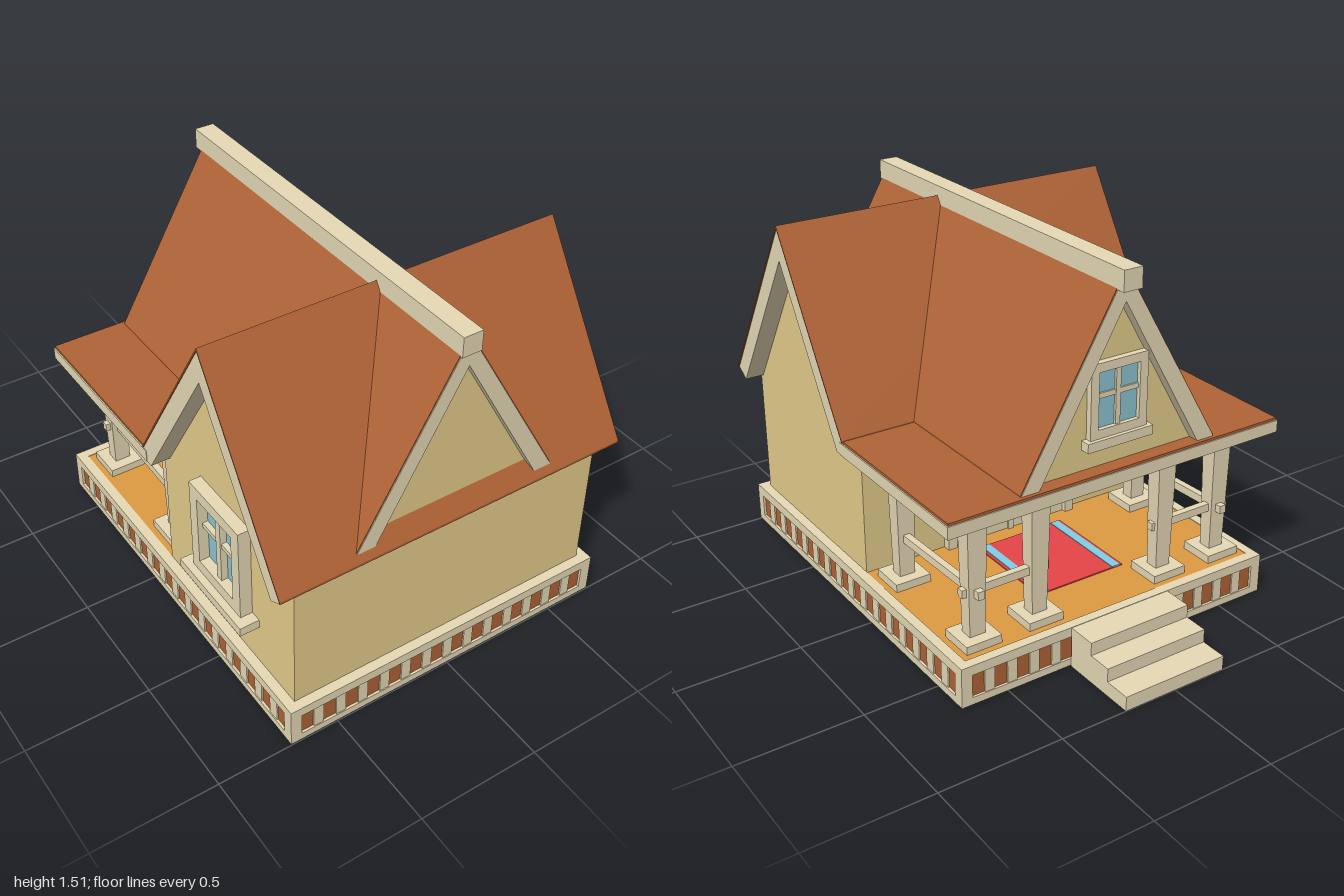
import * as THREE from 'three';

const mat = (name, color) => {
  const m = new THREE.MeshStandardMaterial({ color });
  m.name = name;
  return m;
};

export function createModel() {
  const trim = mat('cream trim', 0xe6d9b6);
  const wall = mat('sand wall', 0xe5cd8b);
  const tile = mat('terracotta', 0xb06336);
  const wood = mat('honey wood', 0xdf9b43);
  const red = mat('rug red', 0xe64547);
  const blue = mat('rug blue', 0x82d4ec);
  const glass = mat('window glass', 0x8cc4d2);

  const model = new THREE.Group();
  model.name = 'cottage';

  const add = (name, geo, material, parent = model) => {
    const mesh = new THREE.Mesh(geo, material);
    mesh.name = name;
    parent.add(mesh);
    return mesh;
  };
  // Box given by its lower and upper limits on each axis
  const box = (name, m, x0, x1, y0, y1, z0, z1, parent = model) => {
    const mesh = add(name, new THREE.BoxGeometry(x1 - x0, y1 - y0, z1 - z0), m, parent);
    mesh.position.set((x0 + x1) / 2, (y0 + y1) / 2, (z0 + z1) / 2);
    return mesh;
  };
  const extrude = (pts, depth) => new THREE.ExtrudeGeometry(
    new THREE.Shape(pts.map(p => new THREE.Vector2(...p))), { depth, bevelEnabled: false });
  // (x, y) profile swept along z
  const alongZ = (name, m, pts, z0, z1) =>
    add(name, extrude(pts, z1 - z0).translate(0, 0, z0), m);
  // (z, y) profile swept along x, centred
  const alongX = (name, m, pts, half) =>
    add(name, extrude(pts.map(([z, y]) => [-z, y]), half * 2).translate(0, 0, -half).rotateY(Math.PI / 2), m);
  // Thin tile skin over a roof line
  const skin = line => [...line, ...line.map(([a, y]) => [a, y + 0.01]).reverse()];

  // Floor and striped skirt
  box('floor', wood, -0.67, 0.67, 0.138, 0.167, -0.64, 0.97);
  const skirt = (name, len, count, place) => {
    const g = new THREE.Group();
    g.name = name;
    const h = len / 2;
    box('topRail', trim, -h, h, 0.13, 0.17, -0.04, 0, g);
    box('bottomRail', trim, -h, h, 0.005, 0.035, -0.012, 0, g);
    box('panel', tile, -h + 0.012, h - 0.012, 0.008, 0.14, -0.03, -0.01, g);
    for (const s of [-1, 1]) box('endPost', trim, s * (h - 0.0225) - 0.0225, s * (h - 0.0225) + 0.0225, 0.005, 0.17, -0.012, 0, g);
    const bar = 0.055, inner = len - 0.09, pitch = (inner - bar) / (count - 1);
    for (let i = 0; i < count - 1; i++) {
      const x = -inner / 2 + i * pitch + bar;
      box('slat', trim, x, x + pitch - bar, 0.03, 0.135, -0.036, -0.004, g);
    }
    place(g);
    model.add(g);
  };
  skirt('frontSkirt', 1.4, 14, g => g.position.set(0, 0, 1));
  skirt('backSkirt', 1.4, 14, g => { g.position.set(0, 0, -0.67); g.rotation.y = Math.PI; });
  for (const s of [-1, 1]) {
    skirt('sideSkirt', 1.67, 16, g => { g.position.set(s * 0.7, 0, 0.165); g.rotation.y = s * Math.PI / 2; });
  }

  // Hollow steps up to the porch: tread, riser and two cheeks each
  let stepBack = -0.67;
  for (const [y, z] of [[0.168, -0.79], [0.115, -0.89], [0.06, -1]]) {
    box('stepTread', trim, -0.225, 0.225, y - 0.02, y, z, stepBack);
    box('stepRiser', trim, -0.225, 0.225, y - 0.06, y, z, z + 0.02);
    for (const s of [-1, 1]) box('stepCheek', trim, s * 0.215 - 0.01, s * 0.215 + 0.01, 0, y, z, stepBack);
    stepBack = z;
  }

  // House body with side gables
  alongX('houseWalls', wall, [[0.96, 0.165], [0.96, 0.7], [0.525, 1.38], [0.09, 0.7], [0.09, 0.165]], 0.66);
  // Upper room with front and back gables
  alongZ('upperWalls', wall, [[-0.37, 0.755], [0.37, 0.755], [0, 1.41]], -0.6, 0.952);

  // Cross roof, ridge along x
  alongX('crossRoof', trim, [[1, 0.735], [0.525, 1.465], [0.08, 0.755], [0.08, 0.7], [0.13, 0.7],
    [0.525, 1.335], [0.94, 0.7]], 0.738);
  alongX('crossRoofTiles', tile, skin([[1, 0.735], [0.525, 1.465], [0.08, 0.755]]), 0.742);

  // Main roof, ridge along z
  alongZ('mainRoof', trim, [[-0.432, 0.758], [0, 1.5], [0.432, 0.758], [0.356, 0.758],
    [0, 1.385], [-0.356, 0.758]], -0.645, 0.982);
  alongZ('mainRoofTiles', tile, skin([[-0.432, 0.756], [0, 1.498], [0.432, 0.756]]), -0.642, 0.979);
  box('ridgeBeam', trim, -0.04, 0.04, 1.435, 1.515, -0.68, 0.99);

  // Flat porch roof with trim rim
  box('porchRoof', tile, -0.735, 0.735, 0.735, 0.76, -0.66, 0.12);
  box('porchRimBack', trim, -0.74, 0.74, 0.7, 0.75, -0.665, -0.625);
  for (const s of [-1, 1]) box('porchRimSide', trim, s * 0.72 - 0.02, s * 0.72 + 0.02, 0.7, 0.75, -0.64, 0.1);

  // Tapered porch posts on plinths
  const postGeo = new THREE.CylinderGeometry(0.035 * Math.SQRT2, 0.027 * Math.SQRT2, 0.54, 4)
    .rotateY(Math.PI / 4).scale(1.2, 1, 1).toNonIndexed();
  postGeo.computeVertexNormals();
  const rail = (name, a, b) => {
    const from = new THREE.Vector3(...a), to = new THREE.Vector3(...b);
    const mesh = add(name, new THREE.BoxGeometry(0.028, 0.033, from.distanceTo(to)), trim);
    mesh.position.copy(from).add(to).multiplyScalar(0.5);
    mesh.lookAt(to);
  };
  for (const s of [-1, 1]) {
    for (const [x, z] of [[0.56, -0.03], [0.56, -0.53], [0.29, -0.53]]) {
      add('porchPost', postGeo, trim).position.set(s * x, 0.465, z);
      box('postPlinth', trim, s * x - 0.075, s * x + 0.075, 0.165, 0.2, z - 0.073, z + 0.073);
    }
    rail('sideRail', [s * 0.56, 0.36, -0.03], [s * 0.56, 0.38, -0.587]);
    rail('backRail', [s * 0.24, 0.38, -0.53], [s * 0.615, 0.38, -0.53]);
  }

  // Rug with blue bands
  box('rug', red, -0.2, 0.2, 0.166, 0.172, -0.42, 0);
  for (const s of [-1, 1]) box('rugBand', blue, s * 0.17 - 0.018, s * 0.17 + 0.018, 0.17, 0.175, -0.42, 0);

  // Double door to the porch
  box('door', trim, -0.27, 0.27, 0.167, 0.64, 0.075, 0.1);
  box('doorLintel', trim, -0.31, 0.31, 0.63, 0.68, 0.05, 0.1);
  box('doorMiddle', trim, -0.012, 0.012, 0.167, 0.64, 0.065, 0.1);
  for (const s of [-1, 1]) box('doorJamb', trim, s * 0.285 - 0.02, s * 0.285 + 0.02, 0.165, 0.65, 0.055, 0.1);

  // Windows: origin at the bottom middle of the frame, facing local +z
  const win = (name, w, h, t, depth, sillW, sillD) => {
    const g = new THREE.Group(), a = w / 2;
    g.name = name;
    box('pane', glass, -a + 0.01, a - 0.01, 0.01, h - 0.01, 0, 0.008, g);
    box('frameTop', trim, -a, a, h - t, h, -0.01, depth, g);
    box('frameBottom', trim, -a, a, 0, t, -0.01, depth, g);
    for (const s of [-1, 1]) box('frameSide', trim, s * (a - t / 2) - t / 2, s * (a - t / 2) + t / 2, t, h - t, -0.01, depth, g);
    box('mullion', trim, -t * 0.3, t * 0.3, t, h - t, 0, depth * 0.7, g);
    box('crossbar', trim, -a + t, a - t, h * 0.52, h * 0.52 + 0.02, 0, depth * 0.6, g);
    box('sill', trim, -sillW / 2, sillW / 2, -0.037, 0, -0.01, sillD, g);
    model.add(g);
    return g;
  };
  const sideWindow = win('sideWindow', 0.33, 0.4, 0.05, 0.05, 0.42, 0.08);
  sideWindow.position.set(-0.66, 0.382, 0.525);
  sideWindow.rotation.y = -Math.PI / 2;
  const gableWindow = win('gableWindow', 0.25, 0.29, 0.035, 0.025, 0.29, 0.04);
  gableWindow.position.set(0, 0.88, -0.6);
  gableWindow.rotation.y = Math.PI;

  return model;
}
